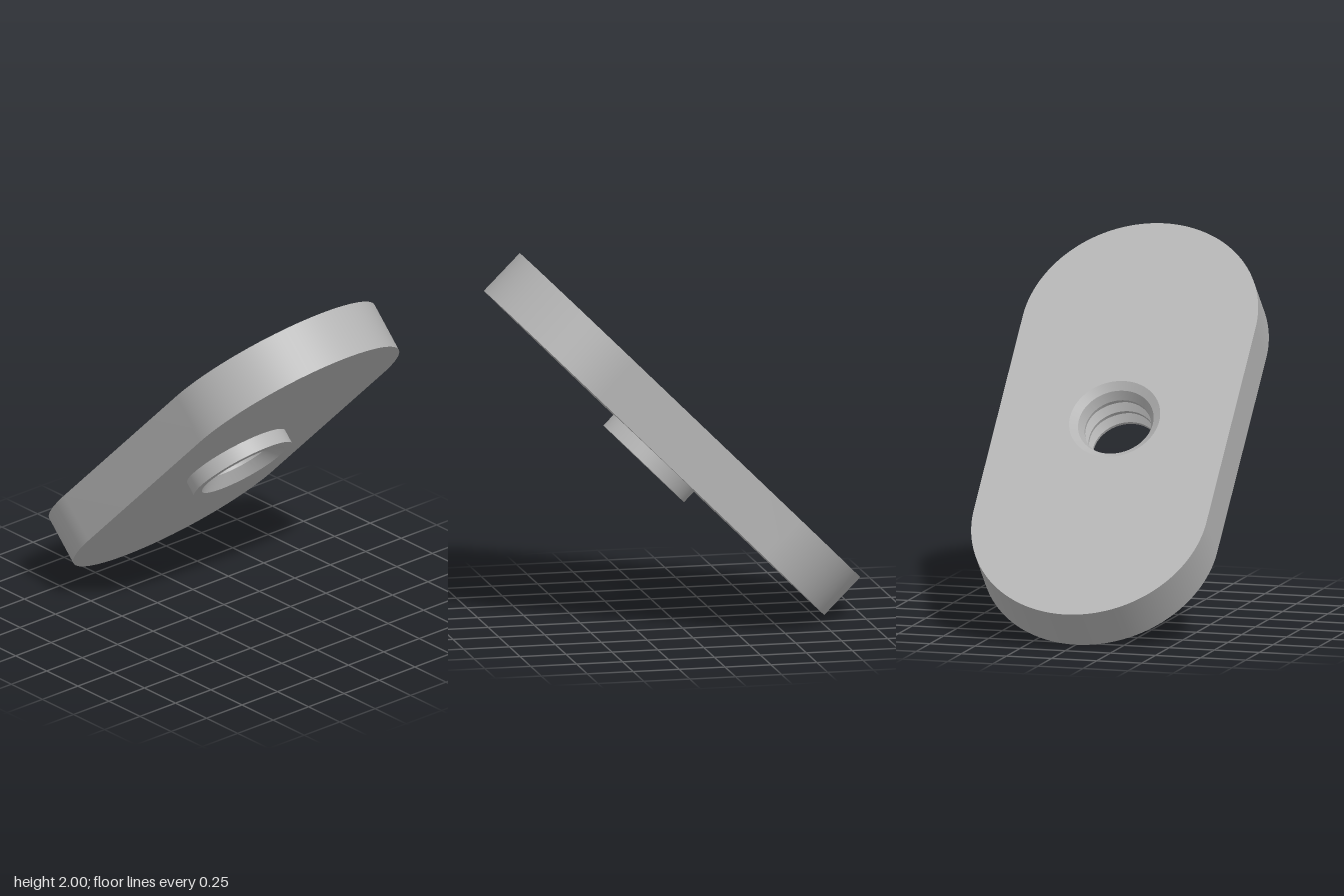
import * as THREE from 'three';
import { toCreasedNormals } from 'three/addons/utils/BufferGeometryUtils.js';

const HALF_LENGTH = 1.2765, RADIUS = 0.645, THICK = 0.276, BORE = 0.247;
const COLLAR_RADIUS = 0.295, COLLAR_HEIGHT = 0.08;

export function createModel() {
  const steel = new THREE.MeshStandardMaterial({ color: 0xb3b3b3 });
  steel.name = 'steel grey';
  const top = THICK / 2, bottom = -THICK / 2 - COLLAR_HEIGHT;

  // Round-ended plate with a round hole through its middle
  const outline = new THREE.Shape();
  const c = HALF_LENGTH - RADIUS;
  outline.moveTo(-c, -RADIUS);
  outline.lineTo(c, -RADIUS);
  outline.absarc(c, 0, RADIUS, -Math.PI / 2, Math.PI / 2, false);
  outline.lineTo(-c, RADIUS);
  outline.absarc(-c, 0, RADIUS, Math.PI / 2, Math.PI * 1.5, false);
  outline.holes.push(new THREE.Path().absarc(0, 0, BORE, 0, Math.PI * 2, true));
  const plateGeometry = new THREE.ExtrudeGeometry(outline, {
    depth: THICK, bevelEnabled: false, curveSegments: 48,
  });
  plateGeometry.translate(0, 0, -THICK / 2).rotateX(-Math.PI / 2);
  const plate = new THREE.Mesh(toCreasedNormals(plateGeometry, 0.4), steel);
  plate.name = 'plate';

  // Threaded bore, running down from the top countersink and out to the collar
  const profile = [[BORE, top], [0.205, top - 0.03]];
  for (let i = 0; i < 3; i++) {
    const y = top - 0.09 - i * 0.1;
    profile.push([0.18, y + 0.008], [0.18, y - 0.008]);
    if (i < 2) profile.push([0.215, y - 0.042], [0.215, y - 0.058]);
  }
  profile.push([0.225, bottom + 0.02], [0.248, bottom]);
  profile.push([COLLAR_RADIUS, bottom], [COLLAR_RADIUS, -THICK / 2]);
  const collarGeometry = new THREE.LatheGeometry(
    profile.map(([r, y]) => new THREE.Vector2(r, y)), 96);
  const collar = new THREE.Mesh(toCreasedNormals(collarGeometry, 0.4), steel);
  collar.name = 'threadedCollar';

  // Whole nut leans at 45 degrees
  const nut = new THREE.Group();
  nut.name = 'slotNut';
  nut.add(plate, collar);
  nut.rotation.z = Math.PI / 4;
  nut.position.y = 1;

  const model = new THREE.Group();
  model.name = 'model';
  model.add(nut);
  return model;
}
